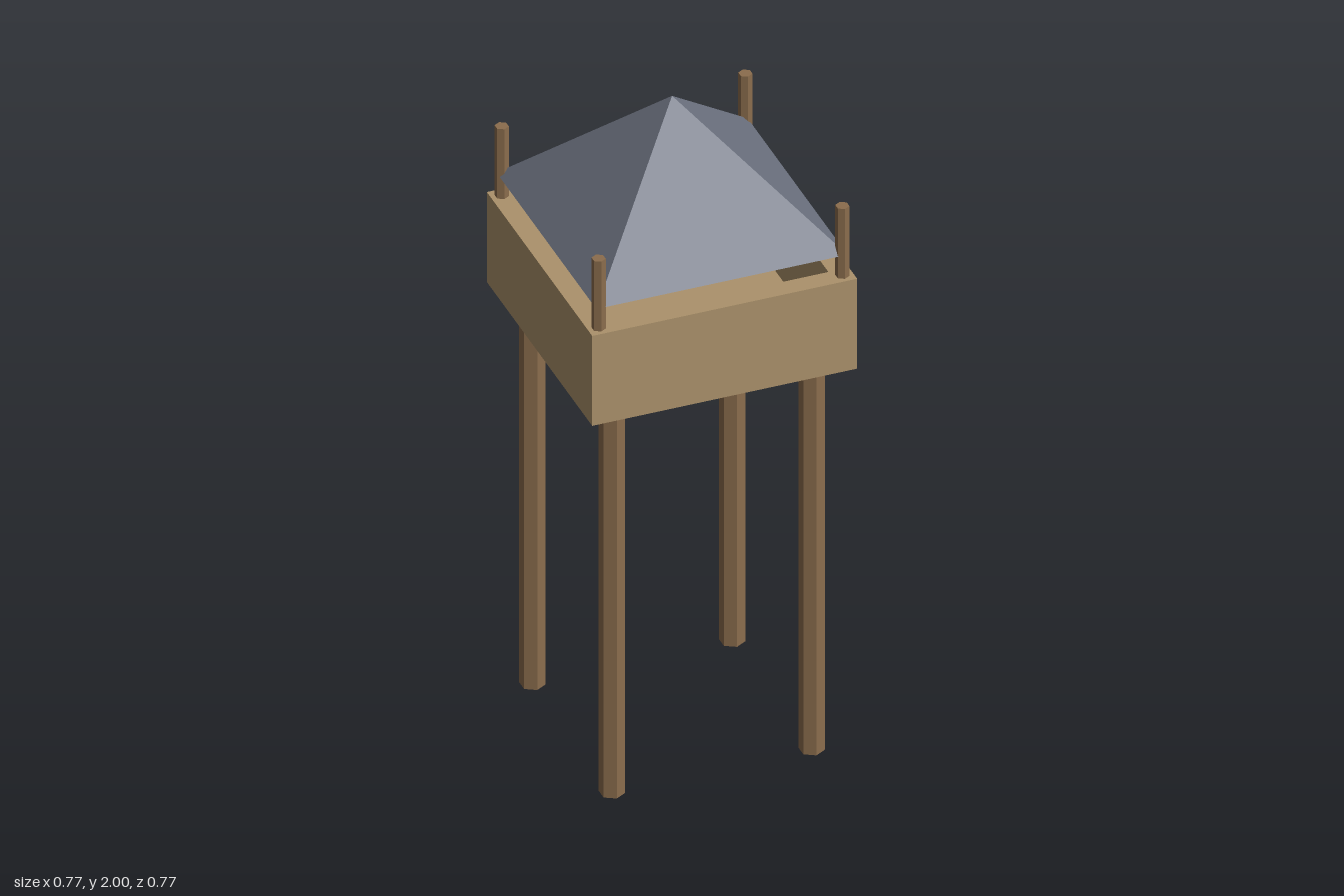
import * as THREE from 'three';

export function createModel() {
  const model = new THREE.Group();
  model.name = 'watchtower';

  const flat = (name, color) => {
    const m = new THREE.MeshStandardMaterial({ color, flatShading: true });
    m.name = name;
    return m;
  };
  const plank = flat('light planks', 0xac926b);
  const timber = flat('dark timber', 0x8b6d4d);
  const slate = flat('slate roof', 0x6d7381);

  const add = (name, geometry, material, x, y, z) => {
    const mesh = new THREE.Mesh(geometry, material);
    mesh.name = name;
    mesh.position.set(x, y, z);
    model.add(mesh);
    return mesh;
  };

  const half = 0.386, wall = 0.06;
  const bottom = 1.26, rim = 1.55, floorTop = 1.32;

  // Parapet: a square ring extruded upwards, open in the middle
  const square = (Type, h) => new Type([[-h, -h], [h, -h], [h, h], [-h, h]].map(([x, y]) => new THREE.Vector2(x, y)));
  const ring = square(THREE.Shape, half);
  ring.holes.push(square(THREE.Path, half - wall));
  const parapet = new THREE.ExtrudeGeometry(ring, { depth: rim - bottom, bevelEnabled: false });
  parapet.rotateX(-Math.PI / 2);
  add('parapet', parapet, plank, 0, bottom, 0);

  // Floor closing the bottom of the parapet
  const inner = 2 * (half - wall);
  add('platformFloor', new THREE.BoxGeometry(inner, floorTop - bottom, inner), plank, 0, (bottom + floorTop) / 2, 0);

  // Six-sided legs below and roof posts on the rim, one at each corner
  const leg = new THREE.CylinderGeometry(0.036, 0.036, bottom, 6);
  const postHeight = 1.775 - rim;
  const post = new THREE.CylinderGeometry(0.0195, 0.0195, postHeight, 6);
  for (const sx of [-1, 1]) {
    for (const sz of [-1, 1]) {
      const corner = (sz > 0 ? 'Front' : 'Back') + (sx > 0 ? 'Left' : 'Right');
      add('leg' + corner, leg, timber, sx * 0.291, bottom / 2, sz * 0.291);
      add('roofPost' + corner, post, timber, sx * 0.355, rim + postHeight / 2, sz * 0.355);
    }
  }

  // Four-sided pyramid roof with its edges over the corners
  const eave = 1.62;
  const roof = new THREE.ConeGeometry(0.366 * Math.SQRT2, 2 - eave, 4);
  roof.rotateY(Math.PI / 4);
  add('roof', roof, slate, 0, (eave + 2) / 2, 0);

  return model;
}
